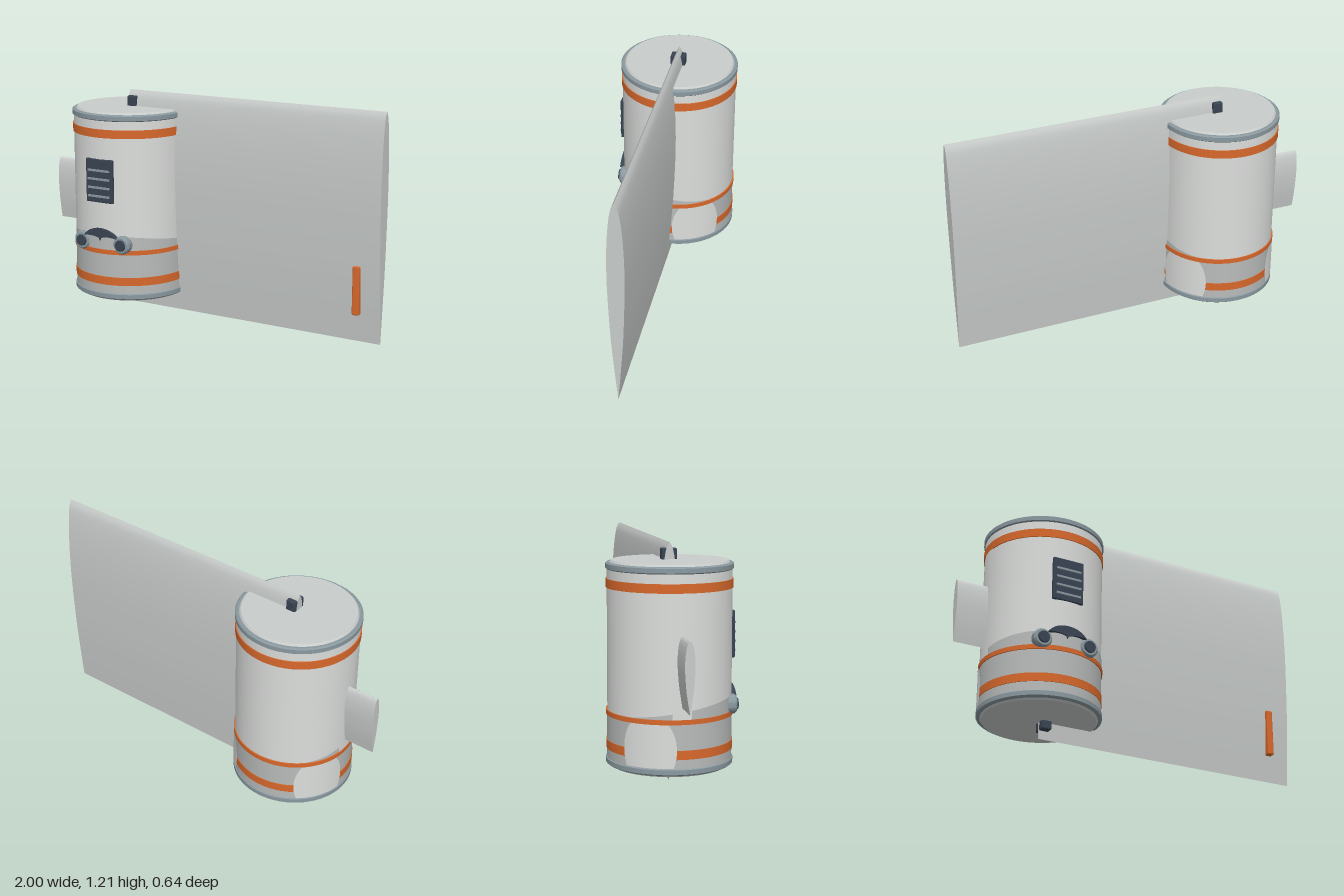
import * as THREE from 'three';
import { toCreasedNormals } from 'three/addons/utils/BufferGeometryUtils.js';
import { RoundedBoxGeometry } from 'three/addons/geometries/RoundedBoxGeometry.js';

const CX = -0.515; // axis of the drum

function mat(name, color, side = THREE.FrontSide) {
  const m = new THREE.MeshStandardMaterial({ color, side });
  m.name = name;
  return m;
}

export function createModel() {
  const shell = mat('light shell', 0xdcdedc, THREE.DoubleSide);
  const panel = mat('wing grey', 0xc8ccca);
  const belly = mat('belly grey', 0xb9bcbb, THREE.DoubleSide);
  const trim = mat('blue grey trim', 0x8a999f);
  const orange = mat('orange', 0xd9692c);
  const dark = mat('dark slate', 0x394452);

  const model = new THREE.Group();
  const add = (name, geo, material, x = 0, y = 0, z = 0, parent = model) => {
    const mesh = new THREE.Mesh(geo, material);
    mesh.name = name;
    mesh.position.set(x, y, z);
    parent.add(mesh);
    return mesh;
  };
  const lathe = (pts) => toCreasedNormals(
    new THREE.LatheGeometry(pts.map(([r, y]) => new THREE.Vector2(r, y)), 64), 0.5);

  // Drum body with end caps and rims
  const drum = new THREE.Group();
  drum.name = 'drum';
  drum.position.x = CX;
  model.add(drum);
  add('drumBody', new THREE.CylinderGeometry(0.313, 0.313, 1.0, 64, 1, true), shell, 0, 0.608, 0, drum);
  add('endCaps', lathe([[0, 0.09], [0.292, 0.09], [0.3, 0.1], [0.3, 1.115], [0.292, 1.125], [0, 1.125]]),
    panel, 0, 0, 0, drum);
  for (const y of [0.1, 1.08]) {
    add('rim', lathe([[0.28, y], [0.312, y], [0.32, y + 0.006], [0.32, y + 0.029],
      [0.312, y + 0.035], [0.28, y + 0.035]]), trim, 0, 0, 0, drum);
  }

  // Darker belly skin whose top edge slopes down to the back
  const skin = new THREE.CylinderGeometry(0.3145, 0.3145, 0.3, 64, 1, true);
  const sp = skin.attributes.position;
  for (let i = 0; i < sp.count; i++) {
    sp.setY(i, sp.getY(i) > 0 ? 0.412 + sp.getZ(i) * 0.15 : 0.12);
  }
  add('bellySkin', skin, belly, 0, 0, 0, drum);

  // Orange bands
  for (const [y0, y1, r] of [[0.99, 1.035, 0.318], [0.18, 0.225, 0.318], [0.353, 0.377, 0.32]]) {
    add('band', lathe([[0.305, y0], [r, y0], [r, y1], [0.305, y1]]), orange, 0, 0, 0, drum);
  }

  // Light rear panels lying over the lower band, narrowed toward the top
  for (const s of [1, -1]) {
    const g = new THREE.PlaneGeometry(2, 2, 16, 10);
    const p = g.attributes.position;
    for (let i = 0; i < p.count; i++) {
      const v = p.getY(i);
      const half = 0.44 * Math.sqrt(1 - 0.35 * (v + 0.2) ** 2);
      const a = s * THREE.MathUtils.degToRad(120) + p.getX(i) * half;
      p.setXYZ(i, 0.3192 * Math.sin(a), 0.245 + v * 0.108, 0.3192 * Math.cos(a));
    }
    g.computeVertexNormals();
    add('rearPanel', g, shell, 0, 0, 0, drum);
  }

  // Strip up the side of the drum behind the stub wing
  add('sideStrip', new THREE.CylinderGeometry(0.317, 0.317, 0.62, 6, 1, true, Math.PI * 1.5 - 0.15, 0.3),
    shell, 0, 0.68, 0, drum);

  // Wings: an aerofoil section, blunt at the top, extruded along x
  const wing = (length, height, thick) => {
    const side = [[0, 0], [0.17, 0.4], [0.34, 0.73], [0.55, 0.96], [0.68, 1], [0.8, 0.91], [0.9, 0.7], [0.97, 0.4], [1, 0]];
    const right = new THREE.SplineCurve(side.map(([t, w]) => new THREE.Vector2(w * thick, t * height))).getPoints(28);
    const left = right.slice(1, -1).reverse().map((p) => new THREE.Vector2(-p.x, p.y));
    const g = new THREE.ExtrudeGeometry(new THREE.Shape([...right, ...left]), { depth: length, bevelEnabled: false });
    g.rotateY(Math.PI / 2);
    return toCreasedNormals(g, 0.6);
  };
  add('mainWing', wing(1.515, 1.21, 0.044), panel, CX, 0, 0);
  add('stubWing', wing(0.3, 0.352, 0.025), panel, -1, 0.434, 0);

  // Pivot pin through the wing root
  add('pivotPin', new RoundedBoxGeometry(0.055, 1.135, 0.08, 2, 0.008), dark, -0.487, 0.6125, 0);

  // Orange grip on the wing
  add('wingGrip', new RoundedBoxGeometry(0.038, 0.26, 0.04, 2, 0.007), orange, 0.873, 0.28, 0.026);

  // Front vent with slats
  add('ventPlate', new RoundedBoxGeometry(0.17, 0.238, 0.035, 2, 0.006), dark, CX, 0.754, 0.3);
  for (let i = 0; i < 4; i++) {
    add('ventSlat', new THREE.BoxGeometry(0.136, 0.011, 0.012), trim, CX, 0.67 + i * 0.047, 0.319);
  }

  // Pair of front lamps
  for (const s of [1, -1]) {
    const lamp = new THREE.Group();
    lamp.name = 'lamp';
    lamp.position.set(CX + s * 0.127, 0.41, 0.29);
    lamp.rotation.x = Math.PI / 2;
    model.add(lamp);
    add('lampHousing', lathe([[0, -0.04], [0.042, -0.04], [0.05, -0.015], [0.05, 0.012], [0.042, 0.022], [0, 0.022]]),
      trim, 0, 0, 0, lamp);
    add('lampLens', new THREE.CylinderGeometry(0.03, 0.033, 0.018, 24), dark, 0, 0.022, 0, lamp);
  }

  // Dark crescent visor between the lamps
  const visor = new THREE.Shape();
  visor.moveTo(-0.105, 0.445);
  visor.quadraticCurveTo(-0.07, 0.492, 0, 0.494);
  visor.quadraticCurveTo(0.07, 0.492, 0.105, 0.445);
  visor.quadraticCurveTo(0.05, 0.455, 0.006, 0.44);
  visor.lineTo(0, 0.425);
  visor.lineTo(-0.006, 0.44);
  visor.quadraticCurveTo(-0.05, 0.455, -0.105, 0.445);
  add('visor', new THREE.ExtrudeGeometry(visor, { depth: 0.03, bevelEnabled: false, curveSegments: 10 }),
    dark, CX, 0, 0.292);

  return model;
}
